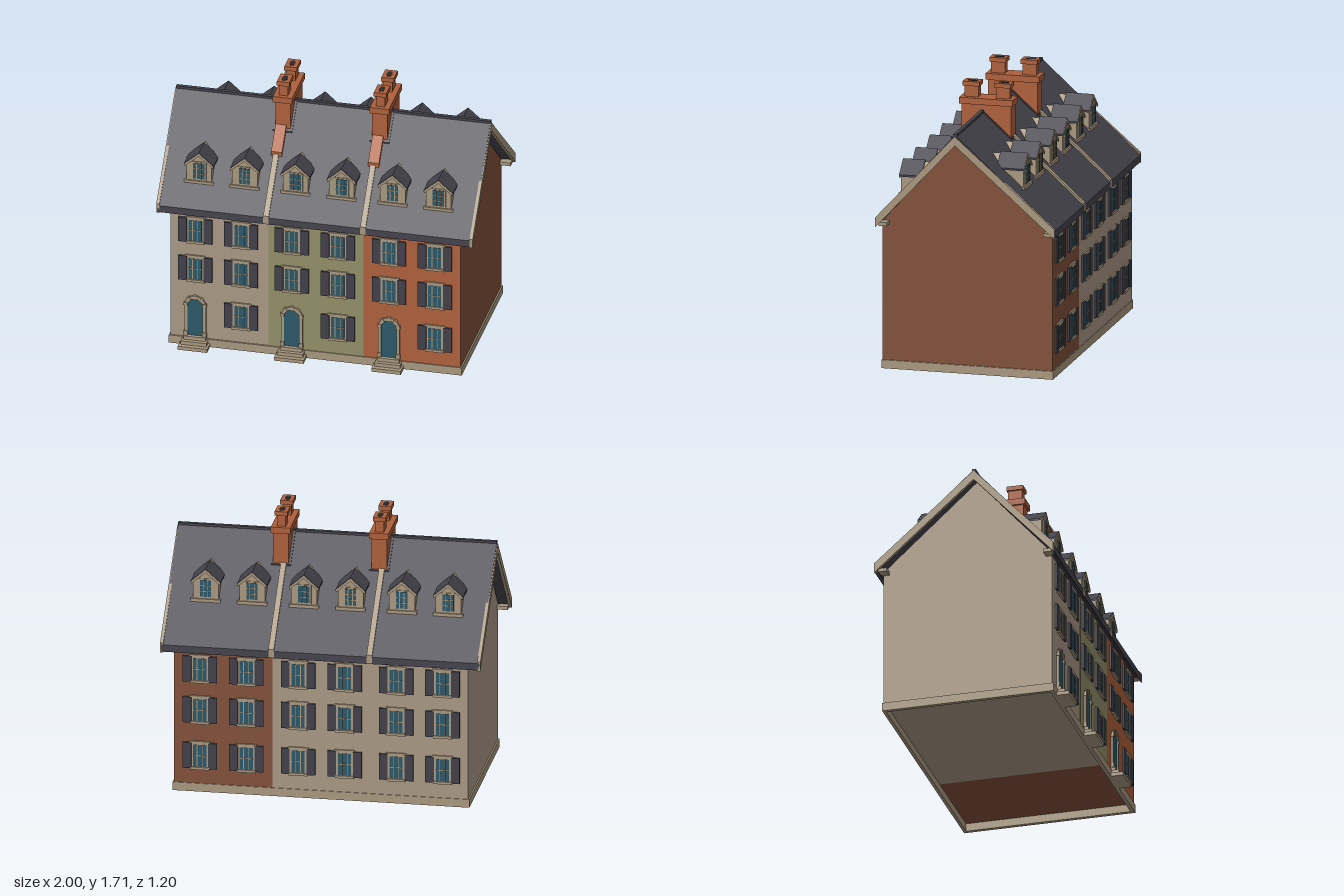
import * as THREE from 'three';

const mat = (name, color, side = THREE.FrontSide) => {
  const m = new THREE.MeshStandardMaterial({ color, side });
  m.name = name;
  return m;
};

export function createModel() {
  const root = new THREE.Group();
  root.name = 'terraceHouses';
  const stone = mat('trimStone', 0xa8987f), render = mat('creamWall', 0xa99884);
  const green = mat('greenWall', 0x928f68), brick = mat('brick', 0xae603b);
  const darkBrick = mat('darkBrick', 0x82503a), slate = mat('slate', 0x45434c);
  const paint = mat('shutterPaint', 0x413f48), glass = mat('tealGlass', 0x2b5768);
  const soot = mat('soot', 0x2b2829);

  const add = (parent, name, geo, m) => {
    const mesh = new THREE.Mesh(geo, m);
    mesh.name = name;
    parent.add(mesh);
    return mesh;
  };
  // box given by its limits on each axis
  const box = (p, name, m, x0, x1, y0, y1, z0, z1) =>
    add(p, name, new THREE.BoxGeometry(x1 - x0, y1 - y0, z1 - z0), m)
      .position.set((x0 + x1) / 2, (y0 + y1) / 2, (z0 + z1) / 2);
  const poly = (pts) => new THREE.Shape(pts.map(([x, y]) => new THREE.Vector2(x, y)));
  const extrude = (shape, depth) =>
    new THREE.ExtrudeGeometry(shape, { depth, bevelEnabled: false, curveSegments: 8 });
  // profile of [z, y] points swept along x
  const prism = (p, name, m, pts, x0, x1) => {
    const mesh = add(p, name, extrude(poly(pts.map(([z, y]) => [-z, y])), x1 - x0), m);
    mesh.rotation.y = Math.PI / 2;
    mesh.position.x = x0;
  };

  // roof line: height at depth z
  const RZ = 0.035, RY = 1.53, EF = 0.545, EB = -0.6;
  const roofY = (z) => RY - (z > RZ ? (z - RZ) * 1.118 : (RZ - z) * 0.898);
  const WF = 0.515, WB = -0.565;

  // house walls
  const under = (z) => roofY(z) - 0.053;
  const section = [[WF, 0.05], [WF, under(WF)], [RZ, under(RZ)], [WB, under(WB)], [WB, 0.05]];
  prism(root, 'leftHouse', render, section, -0.917, -0.297);
  prism(root, 'middleHouse', render, section, -0.297, 0.305);
  prism(root, 'rightHouse', darkBrick, section, 0.305, 0.917);
  box(root, 'greenFront', green, -0.297, 0.305, 0.05, 0.93, WF, WF + 0.004);
  box(root, 'brickFront', brick, 0.305, 0.917, 0.05, 0.93, WF, WF + 0.004);

  // plinth frame, open underneath
  const plinth = poly([[-0.926, -0.525], [0.926, -0.525], [0.926, 0.57], [-0.926, 0.57]]);
  plinth.holes.push(new THREE.Path([[-0.9, -0.5], [-0.9, 0.55], [0.9, 0.55], [0.9, -0.5]]
    .map(([x, y]) => new THREE.Vector2(x, y))));
  add(root, 'plinth', extrude(plinth, 0.053), stone).rotation.x = -Math.PI / 2;

  // roof, ridge and eaves
  prism(root, 'roof', slate, [[EF, roofY(EF)], [RZ, RY], [EB, roofY(EB)],
    [EB, roofY(EB) - 0.045], [RZ, RY - 0.05], [EF, roofY(EF) - 0.045]], -0.994, 0.994);
  box(root, 'ridge', slate, -0.994, 0.994, 1.518, 1.534, RZ - 0.012, RZ + 0.012);
  box(root, 'frontGutter', slate, -0.935, 0.935, 0.918, 0.945, WF, WF + 0.014);
  box(root, 'backGutter', slate, -0.935, 0.935, 0.918, 0.945, WB - 0.014, WB);

  // gable edge boards, standing proud of the slates only near the eaves
  for (const s of [-1, 1]) {
    const x0 = s > 0 ? 0.98 : -1;
    prism(root, 'gableBoard', stone, [[EF, roofY(EF) + 0.012], [RZ, RY - 0.012],
      [EB, roofY(EB) + 0.012], [EB, roofY(EB) - 0.05], [RZ, RY - 0.068],
      [EF, roofY(EF) - 0.05]], x0, x0 + 0.02);
    const [a, b] = s > 0 ? [0.917, 0.985] : [-0.985, -0.917];
    box(root, 'eavesReturn', stone, a, b, 0.918, 0.94, 0.475, 0.528);
    box(root, 'eavesReturn', stone, a, b, 0.918, 0.94, -0.578, -0.525);
  }

  // party wall copings and chimneys
  const strip = (name, m, x0, x1, z0, z1, up) => prism(root, name, m,
    [[z0, roofY(z0) + up], [z1, roofY(z1) + up], [z1, roofY(z1) - 0.04], [z0, roofY(z0) - 0.04]], x0, x1);
  for (const x of [-0.29, 0.323]) {
    strip('frontCoping', stone, x - 0.034, x + 0.001, EF + 0.002, 0.27, 0.014);
    strip('backCoping', stone, x - 0.034, x + 0.001, EB - 0.001, -0.14, 0.014);
    strip('chimneyShoulder', brick, x - 0.046, x + 0.022, 0.283, 0.15, 0.03);
    strip('frontFlashing', slate, x - 0.062, x + 0.062, 0.178, RZ + 0.001, 0.008);
    strip('backFlashing', slate, x - 0.062, x + 0.062, -0.155, RZ, 0.008);
    const chimney = new THREE.Group();
    chimney.name = 'chimney';
    chimney.position.set(x, 0, 0.008);
    root.add(chimney);
    box(chimney, 'stack', brick, -0.048, 0.048, 1.33, 1.57, -0.158, 0.158);
    box(chimney, 'stackCap', brick, -0.061, 0.061, 1.57, 1.61, -0.171, 0.171);
    for (const z of [-0.1, 0.1]) {
      box(chimney, 'flue', brick, -0.028, 0.028, 1.61, 1.682, z - 0.044, z + 0.044);
      box(chimney, 'flueCap', brick, -0.04, 0.04, 1.68, 1.708, z - 0.053, z + 0.053);
      const hole = add(chimney, 'flueOpening', new THREE.CylinderGeometry(0.018, 0.018, 0.004, 12), soot);
      hole.scale.z = 1.9;
      hole.position.set(0, 1.708, z);
    }
  }

  // glazing bars over a pane, in a group facing +z
  const glazing = (p, w, y0, y1, z, rows) => {
    box(p, 'pane', glass, -w / 2, w / 2, y0, y1, z, z + 0.003);
    for (const x of [-w / 5, w / 5])
      box(p, 'uprightBar', stone, x - 0.002, x + 0.002, y0, y1, z, z + 0.006);
    for (let i = 1; i < rows; i++) {
      const y = y0 + (y1 - y0) * i / rows;
      box(p, 'crossBar', stone, -w / 2, w / 2, y - 0.002, y + 0.002, z, z + 0.006);
    }
  };

  // window with shutters, lintel and sill
  const makeWindow = () => {
    const g = new THREE.Group();
    g.name = 'window';
    box(g, 'frame', stone, -0.053, 0.053, -0.085, 0.085, 0, 0.008);
    glazing(g, 0.082, -0.072, 0.07, 0.008, 2);
    box(g, 'lintel', stone, -0.064, 0.064, 0.07, 0.092, 0, 0.01);
    box(g, 'sill', stone, -0.058, 0.058, -0.092, -0.076, 0, 0.016);
    for (const s of [-1, 1])
      box(g, 'shutter', paint, s * 0.08 - 0.027, s * 0.08 + 0.027, -0.085, 0.083, 0, 0.013);
    return g;
  };

  // arched doorway with steps
  const makeDoor = () => {
    const g = new THREE.Group();
    g.name = 'doorway';
    const arch = (r) => {
      const s = new THREE.Shape();
      s.moveTo(-r, 0.07);
      s.lineTo(r, 0.07);
      s.lineTo(r, 0.278);
      s.absarc(0, 0.278, r, 0, Math.PI, false);
      s.closePath();
      return s;
    };
    const surround = arch(0.068);
    surround.holes.push(arch(0.048));
    add(g, 'surround', extrude(surround, 0.014), stone);
    add(g, 'door', extrude(arch(0.049), 0.006), glass);
    // raised arch stones
    for (let i = 0; i < 9; i += 2) {
      const a = Math.PI * (i + 0.5) / 9;
      const block = add(g, 'archStone', new THREE.BoxGeometry(0.026, 0.019, 0.019), stone);
      block.position.set(Math.cos(a) * 0.06, 0.278 + Math.sin(a) * 0.06, 0.0095);
      block.rotation.z = a;
    }
    for (const s of [-1, 1])
      box(g, 'jambBase', stone, s * 0.059 - 0.013, s * 0.059 + 0.013, 0.07, 0.1, 0, 0.019);
    [[0.093, 0.085], [0.081, 0.055], [0.07, 0.03]].forEach(([w, d], i) =>
      box(g, 'step', stone, -w, w, i * 0.0235, (i + 1) * 0.0235, -0.005, d));
    return g;
  };

  // dormer facing +z, running back into the roof
  const makeDormer = (cover) => {
    const g = new THREE.Group();
    g.name = 'dormer';
    const body = poly([[-0.08, 0], [0.08, 0], [0.08, 0.15], [0, 0.219], [-0.08, 0.15]]);
    add(g, 'dormerBody', extrude(body, 0.25), stone).position.z = -0.25;
    const roof = poly([[-0.093, 0.148], [0, 0.23], [0.093, 0.148], [0.093, 0.136], [0, 0.217], [-0.093, 0.136]]);
    add(g, 'dormerRoof', extrude(roof, cover), slate).position.z = 0.006 - cover;
    const verge = poly([[-0.091, 0.146], [0, 0.226], [0.091, 0.146], [0.091, 0.128], [0, 0.206], [-0.091, 0.128]]);
    add(g, 'dormerVerge', extrude(verge, 0.009), stone);
    box(g, 'dormerSill', stone, -0.093, 0.093, 0, 0.033, -0.03, 0.01);
    box(g, 'dormerFrame', stone, -0.046, 0.046, 0.04, 0.165, 0, 0.005);
    glazing(g, 0.07, 0.048, 0.156, 0.005, 3);
    return g;
  };

  const columns = [-0.758, -0.469, -0.148, 0.143, 0.466, 0.756];
  const rows = [0.238, 0.537, 0.805];
  const place = (g, x, y, z, back) => {
    g.position.set(x, y, z);
    if (back) g.rotation.y = Math.PI;
    root.add(g);
  };
  columns.forEach((x, c) => {
    rows.forEach((y, r) => {
      place(makeWindow(), x, y, WB, true);
      if (r === 0 && c % 2 === 0) place(makeDoor(), x, 0, WF + 0.003, false);
      else place(makeWindow(), x, y, WF + 0.003, false);
    });
    place(makeDormer(0.14), x, 1.067, 0.425, false);
    place(makeDormer(0.175), x, 1.155, -0.358, true);
  });
  return root;
}
